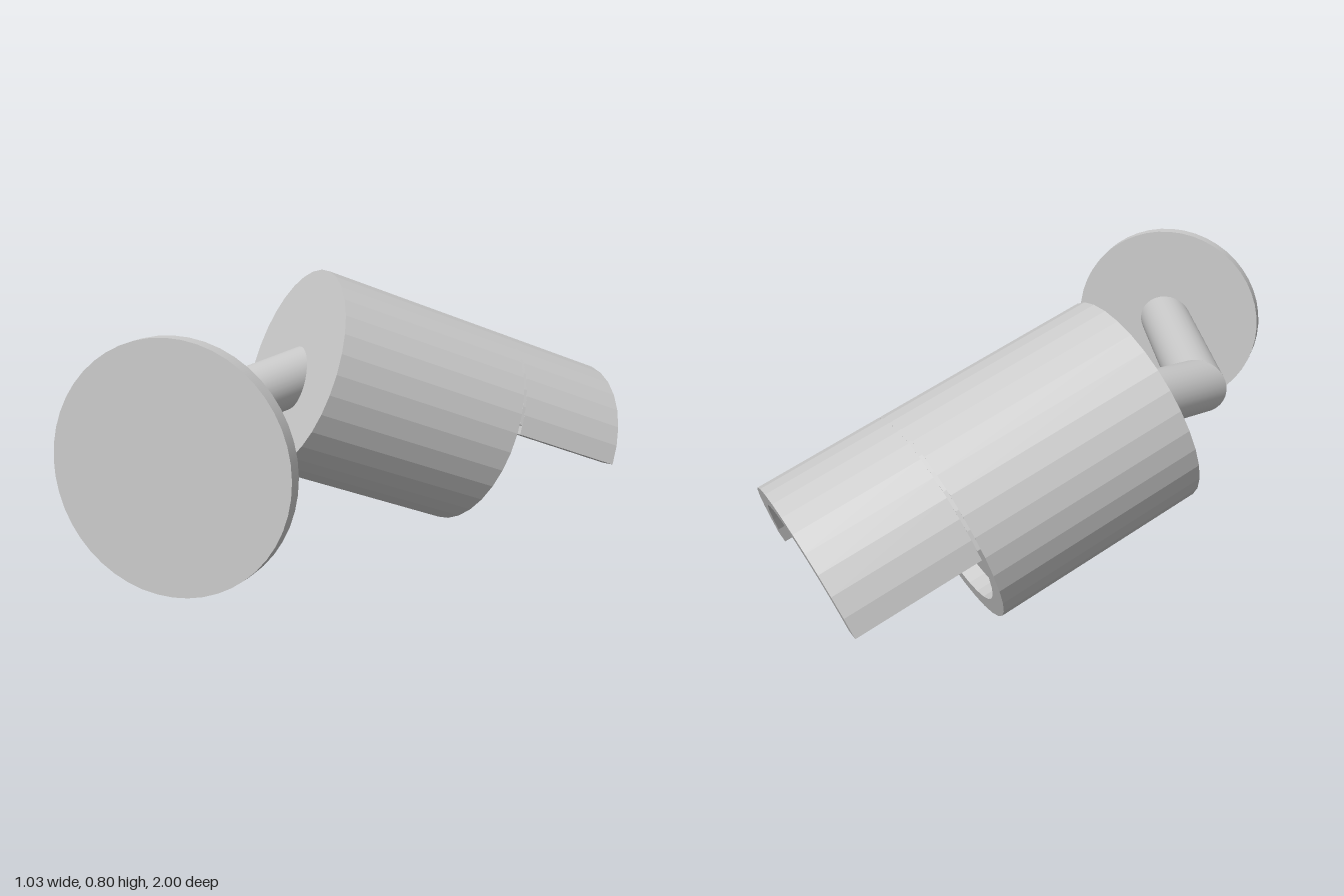
import * as THREE from 'three';

const grey = new THREE.MeshStandardMaterial({ color: 0xcccccc });
const facet = new THREE.MeshStandardMaterial({ color: 0xcccccc, flatShading: true });
const black = new THREE.MeshStandardMaterial({ color: 0x050505 });
const V = (x, y, z) => new THREE.Vector3(x, y, z);

const R = 0.31, INNER = 0.257, FRONT = 0.63, FACE = 0.58, STEP = Math.PI / 16;

function add(parent, name, geometry, material) {
  const mesh = new THREE.Mesh(geometry, material);
  mesh.name = name;
  parent.add(mesh);
  return mesh;
}

// Arched slab whose edges sit at angle a above the horizontal
function arch(a, z0, z1) {
  const ring = (r, i) => {
    const t = a + (i / 15) * (Math.PI - 2 * a);
    return new THREE.Vector2(r * Math.cos(t), r * Math.sin(t));
  };
  const pts = [];
  for (let i = 0; i <= 15; i++) pts.push(ring(R, i));
  for (let i = 15; i >= 0; i--) pts.push(ring(INNER, i));
  return new THREE.ExtrudeGeometry(new THREE.Shape(pts), { depth: z1 - z0, bevelEnabled: false })
    .translate(0, 0, z0);
}

// Cylinder along z from z0 to z1
function disc(r, z0, z1, sides) {
  return new THREE.CylinderGeometry(r, r, z1 - z0, sides).rotateX(Math.PI / 2).translate(0, 0, (z0 + z1) / 2);
}

// Tube between two points, with its start and end slid along it onto cutting planes
function mitredTube(a, b, r, normalA, normalB) {
  const dir = b.clone().sub(a).normalize();
  const geo = new THREE.CylinderGeometry(r, r, a.distanceTo(b), 32, 1, true);
  geo.applyQuaternion(new THREE.Quaternion().setFromUnitVectors(V(0, 1, 0), dir));
  const mid = a.clone().add(b).multiplyScalar(0.5);
  geo.translate(mid.x, mid.y, mid.z);
  const p = geo.attributes.position, v = V(0, 0, 0);
  for (let i = 0; i < p.count; i++) {
    v.fromBufferAttribute(p, i);
    const atStart = v.clone().sub(mid).dot(dir) < 0;
    const end = atStart ? a : b, n = atStart ? normalA : normalB;
    v.addScaledVector(dir, end.clone().sub(v).dot(n) / dir.dot(n));
    p.setXYZ(i, v.x, v.y, v.z);
  }
  return geo;
}

export function createModel() {
  const model = new THREE.Group();
  model.name = 'securityCamera';

  // Camera housing, built along local z and then aimed
  const camera = new THREE.Group();
  camera.name = 'cameraHead';
  const profile = [[0, 0], [R, 0], [R, FRONT], [INNER, FRONT], [INNER, FACE], [0, FACE]]
    .map(([x, y]) => new THREE.Vector2(x, y));
  add(camera, 'housing', new THREE.LatheGeometry(profile, 32, STEP / 2).rotateX(Math.PI / 2), facet);

  // Sun hood, with a narrow slit on each side where it leaves the housing
  add(camera, 'hoodNeck', arch(0.19, FRONT, FRONT + 0.01), facet);
  add(camera, 'hood', arch(STEP / 2, FRONT + 0.01, 1), facet);

  // Lens
  add(camera, 'lens', disc(0.085, FACE - 0.01, FACE + 0.04, 24), black);
  add(camera, 'lensCentre', disc(0.022, FACE, FACE + 0.044, 16), grey);

  const aim = V(0.377, -0.351, -0.857).normalize();
  const side = V(0, 1, 0).cross(aim).normalize();
  const up = aim.clone().cross(side);
  camera.quaternion.setFromRotationMatrix(new THREE.Matrix4().makeBasis(side, up, aim));
  camera.position.set(-0.228, 0.511, 0.02);
  model.add(camera);

  // Wall plate
  const plate = add(model, 'wallPlate', disc(R, -0.02, 0.02, 48), grey);
  plate.position.set(0.22, 0.433, 0.867);
  plate.rotation.y = Math.atan2(0.374, 0.927);
  const plateNormal = V(0.374, 0, 0.927);

  // Bent arm with a mitred elbow
  const start = V(0.225, 0.433, 0.856), elbow = V(-0.21, 0.433, 0.39), end = V(-0.207, 0.495, -0.01);
  const d1 = elbow.clone().sub(start).normalize(), d2 = end.clone().sub(elbow).normalize();
  const mitre = d1.clone().add(d2).normalize();
  const arm = new THREE.Group();
  arm.name = 'arm';
  add(arm, 'lowerArm', mitredTube(start, elbow, 0.082, plateNormal, mitre), grey);
  add(arm, 'upperArm', mitredTube(elbow, end, 0.082, mitre, aim), grey);
  model.add(arm);

  return model;
}
